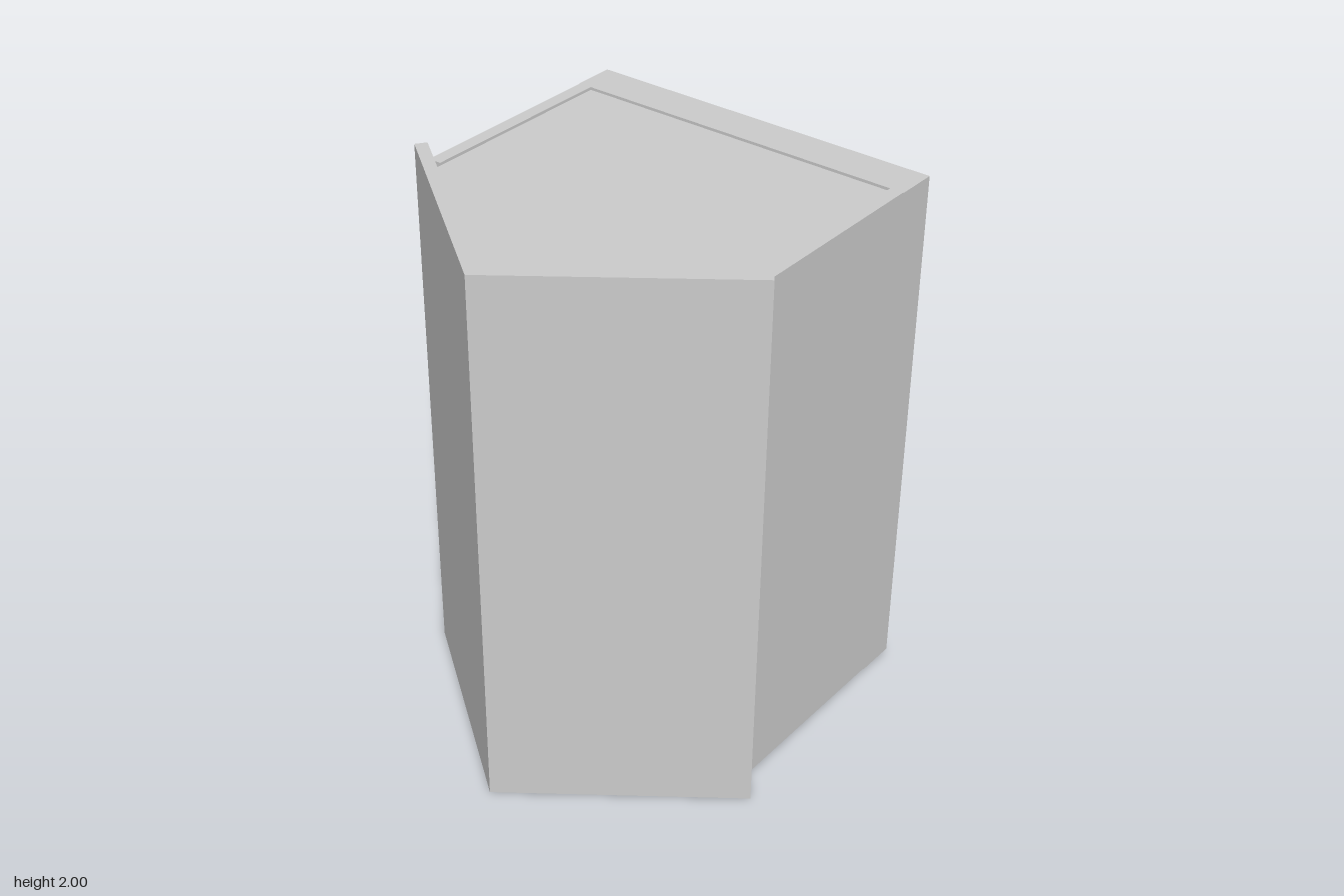
import * as THREE from 'three';

export function createModel() {
  const group = new THREE.Group();
  const material = new THREE.MeshStandardMaterial({ color: 0xcccccc, flatShading: true });

  const add = (name, geometry) => {
    const mesh = new THREE.Mesh(geometry, material);
    mesh.name = name;
    group.add(mesh);
    return mesh;
  };
  const box = (name, x0, x1, y0, y1, z0, z1) => {
    const g = new THREE.BoxGeometry(x1 - x0, y1 - y0, z1 - z0);
    return add(name, g.translate((x0 + x1) / 2, (y0 + y1) / 2, (z0 + z1) / 2));
  };
  const polygon = (pts) => new THREE.Shape(pts.map(([a, b]) => new THREE.Vector2(a, b)));
  const rect = (a0, a1, b0, b1) => [[a0, b0], [a1, b0], [a1, b1], [a0, b1]];
  const withHoles = (outline, ...holes) => {
    const shape = polygon(outline);
    holes.forEach((h) => shape.holes.push(polygon(h)));
    return shape;
  };
  const extrude = (shape, depth) => new THREE.ExtrudeGeometry(shape, { depth, bevelEnabled: false });
  // Plan outlines are (x, -z), raised from y0 to y1
  const plan = (name, shape, y0, y1) =>
    add(name, extrude(shape, y1 - y0).rotateX(-Math.PI / 2).translate(0, y0, 0));

  // V-shaped roof, running the full height
  plan('roof', polygon([
    [0, -0.72], [0.705, -0.19], [0.68, -0.155], [0, -0.665], [-0.68, -0.155], [-0.705, -0.19],
  ]), 0, 2);

  // Five-sided end panels; the lower one has a square entrance under the roof
  const gable = [[-0.605, 0.6], [-0.605, -0.211], [0, -0.665], [0.605, -0.211], [0.605, 0.6]];
  plan('upperEndPanel', polygon(gable), 1.9, 1.95);
  plan('lowerEndPanel', withHoles(gable, rect(-0.1, 0.1, -0.49, -0.26)), 0.05, 0.1);

  // Side walls: one plain, one with two openings; outline is (z, y)
  box('leftWall', 0.605, 0.652, 0.045, 1.96, -0.6, 0.18);
  const openWall = withHoles(
    rect(-0.575, 0.18, 0.045, 1.96),
    rect(-0.29, 0.01, 1.13, 1.43),
    rect(-0.565, 0.02, 0.4, 0.665),
  );
  add('rightWall', extrude(openWall, 0.047).rotateY(-Math.PI / 2).translate(-0.605, 0, 0));

  // Base frame around a recessed panel
  const frame = withHoles(rect(-0.655, 0.655, 0.045, 1.96), rect(-0.54, 0.54, 0.17, 1.835));
  add('baseFrame', extrude(frame, 0.15).translate(0, 0, -0.72));
  box('basePanel', -0.545, 0.545, 0.165, 1.84, -0.59, -0.571);

  // Inner ceiling, shelf and divider
  box('innerCeiling', -0.605, 0.605, 0.1, 1.9, 0.13, 0.18);
  box('innerShelf', -0.605, 0.605, 0.355, 0.398, -0.57, 0.13);
  box('innerDivider', -0.6, 0.605, 0.398, 0.9, -0.29, -0.25);

  return group;
}
